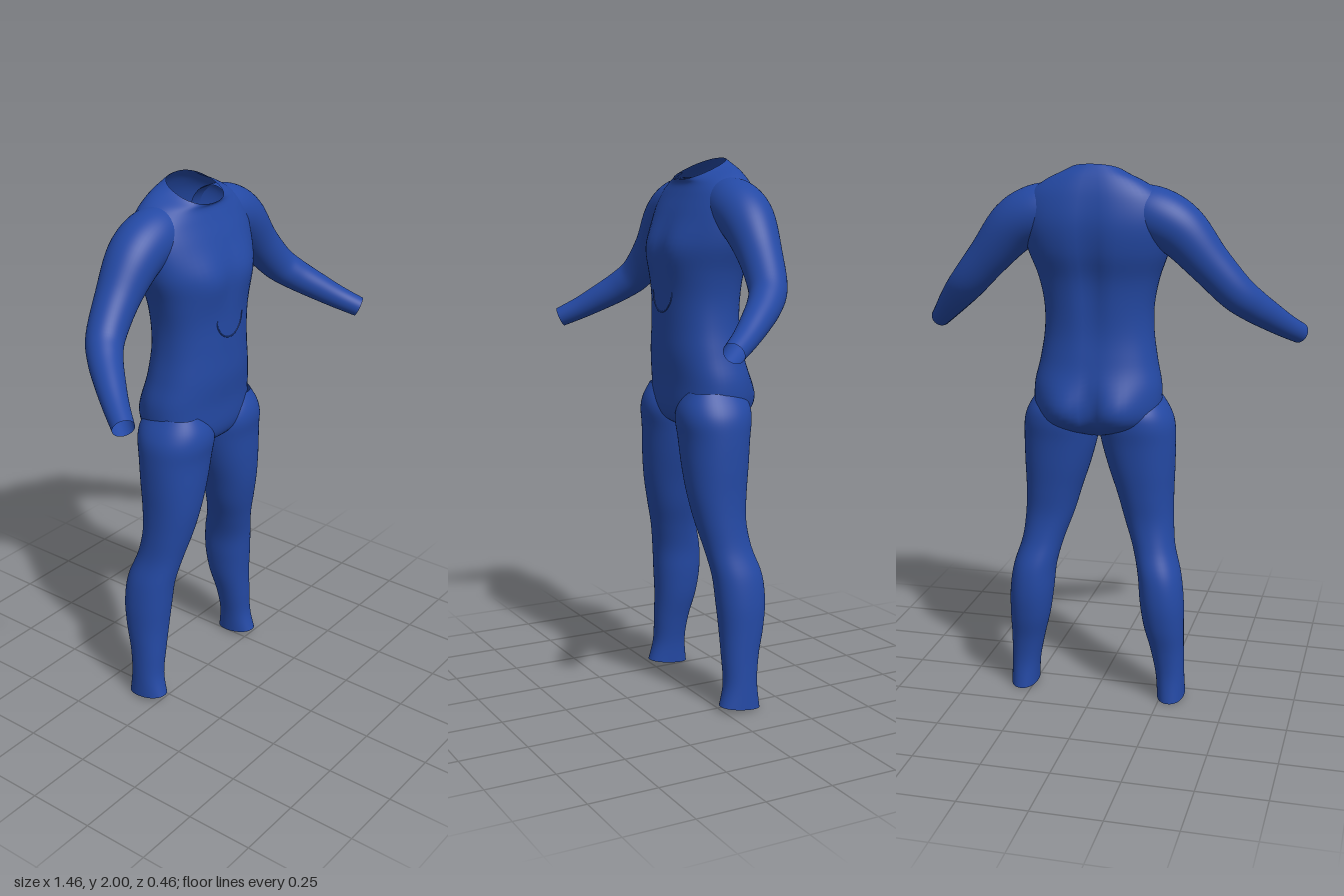
import * as THREE from 'three';

const SEG = 56; // points round each cross-section

// Catmull-Rom through rows of numbers, returning subdivided rows
function refine(rows, steps) {
  const out = [];
  const at = (i) => rows[Math.min(Math.max(i, 0), rows.length - 1)];
  for (let i = 0; i < rows.length - 1; i++) {
    for (let s = 0; s < steps; s++) {
      const t = s / steps;
      out.push(rows[i].map((_, k) => {
        const [a, b, c, d] = [at(i - 1)[k], at(i)[k], at(i + 1)[k], at(i + 2)[k]];
        return b + 0.5 * t * (c - a + t * (2 * a - 5 * b + 4 * c - d + t * (3 * (b - c) + d - a)));
      }));
    }
  }
  out.push(rows[rows.length - 1]);
  return out;
}

// Joins closed rings of points into one smooth open-ended skin
function skin(rings) {
  const index = [];
  for (let i = 0; i < rings.length - 1; i++) {
    for (let j = 0; j < SEG; j++) {
      const k = (j + 1) % SEG;
      const a = i * SEG + j, b = i * SEG + k, c = a + SEG, d = b + SEG;
      index.push(a, c, b, b, c, d);
    }
  }
  const geo = new THREE.BufferGeometry();
  geo.setAttribute('position', new THREE.Float32BufferAttribute(rings.flat(2), 3));
  geo.setIndex(index);
  geo.computeVertexNormals();
  return geo;
}

// Level rings from rows of [y, xMin, xMax, zFront, zBack, tilt]
function loftUp(rows, power, shape = (p) => p) {
  const bend = (v) => Math.sign(v) * Math.abs(v) ** (2 / power);
  return skin(refine(rows, 5).map(([y, x0, x1, zf, zb, tilt]) =>
    Array.from({ length: SEG }, (_, j) => {
      const t = (j / SEG) * Math.PI * 2;
      const dz = bend(Math.sin(t)) * (zf - zb) / 2;
      const x = (x0 + x1) / 2 + bend(Math.cos(t)) * (x1 - x0) / 2;
      return shape([x, y - tilt * dz, (zf + zb) / 2 + dz], Math.sin(t));
    })));
}

// Round rings square to a path, from rows of [x, y, z, radius]
function loftAlong(rows) {
  const path = refine(rows, 6);
  const pts = path.map((r) => new THREE.Vector3(r[0], r[1], r[2]));
  return skin(path.map((r, i) => {
    const T = pts[Math.min(i + 1, pts.length - 1)].clone().sub(pts[Math.max(i - 1, 0)]).normalize();
    const U = new THREE.Vector3(0, 1, 0).addScaledVector(T, -T.y).normalize();
    const V = U.clone().cross(T);
    return Array.from({ length: SEG }, (_, j) => {
      const t = (j / SEG) * Math.PI * 2;
      return pts[i].clone().addScaledVector(U, Math.cos(t) * r[3])
        .addScaledVector(V, Math.sin(t) * r[3]).toArray();
    });
  }));
}

function mirrored(geo) {
  const g = geo.clone().scale(-1, 1, 1);
  g.index.array.reverse();
  g.computeVertexNormals();
  return g;
}

// Chest, buttocks and the groove down the spine
function muscles([x, y, z], facing) {
  const bump = (cx, cy, sx, sy) =>
    Math.exp(-(((Math.abs(x) - cx) / sx) ** 2) - ((y - cy) / sy) ** 2);
  if (facing > 0) z += facing * 0.02 * bump(0.1, 1.67, 0.09, 0.09);
  else {
    z += facing * 0.04 * bump(0.11, 1.13, 0.09, 0.085);
    z -= facing * (0.02 * bump(0, 1.13, 0.025, 0.1) + 0.018 * bump(0, 1.62, 0.04, 0.25));
  }
  return [x, y, z];
}

export function createModel() {
  const model = new THREE.Group();
  model.name = 'bodysuit';
  const blue = new THREE.MeshStandardMaterial({ color: 0x2449a4, side: THREE.DoubleSide });
  blue.name = 'blue fabric';
  const add = (name, geo) => {
    const mesh = new THREE.Mesh(geo, blue);
    mesh.name = name;
    model.add(mesh);
  };

  // Torso: [y, half width, front z, back z, tilt], crotch to open collar
  const torso = [
    [1.02, 0.03, 0.0, -0.1, 0], [1.05, 0.16, 0.06, -0.16, 0], [1.1, 0.225, 0.085, -0.2, 0],
    [1.2, 0.235, 0.09, -0.205, 0], [1.3, 0.215, 0.1, -0.19, 0], [1.4, 0.2, 0.1, -0.178, 0],
    [1.5, 0.2, 0.1, -0.18, 0], [1.6, 0.22, 0.1, -0.19, 0], [1.7, 0.255, 0.095, -0.215, 0],
    [1.8, 0.27, 0.065, -0.222, 0], [1.88, 0.25, 0.035, -0.205, 0.1], [1.93, 0.19, 0.02, -0.18, 0.25],
    [1.955, 0.125, 0.025, -0.155, 0.4], [1.962, 0.105, 0.03, -0.145, 0.45],
  ].map(([y, w, f, b, t]) => [y, -w, w, f, b, t]);
  add('torso', loftUp(torso, 2.3, muscles));

  // Leg: [y, inner x, outer x, front z, back z, tilt], open ankle to hip
  const leg = loftUp([
    [0.011, 0.237, 0.34, 0.01, -0.15, -0.13], [0.1, 0.23, 0.337, -0.01, -0.14, 0],
    [0.2, 0.21, 0.335, -0.01, -0.15, 0], [0.3, 0.185, 0.335, -0.008, -0.173, 0],
    [0.4, 0.17, 0.333, 0.0, -0.185, 0], [0.5, 0.16, 0.32, 0.01, -0.178, 0],
    [0.6, 0.135, 0.292, 0.03, -0.148, 0], [0.7, 0.1, 0.282, 0.055, -0.135, 0],
    [0.8, 0.07, 0.28, 0.075, -0.143, 0], [0.9, 0.037, 0.283, 0.085, -0.155, 0],
    [1.0, 0.01, 0.284, 0.09, -0.165, 0], [1.07, 0.001, 0.28, 0.098, -0.175, 0],
    [1.12, 0.02, 0.262, 0.09, -0.17, 0], [1.17, 0.06, 0.23, 0.065, -0.14, 0],
  ], 2.15);
  add('leftLeg', leg);
  add('rightLeg', mirrored(leg));

  // Arm: [x, y, z, radius], shoulder to open wrist
  const arm = loftAlong([
    [0.12, 1.85, -0.085, 0.085], [0.21, 1.825, -0.087, 0.1], [0.3, 1.775, -0.085, 0.096],
    [0.4, 1.665, -0.075, 0.077], [0.49, 1.565, -0.05, 0.067], [0.545, 1.512, -0.005, 0.06],
    [0.6, 1.462, 0.062, 0.052], [0.65, 1.417, 0.13, 0.044], [0.697, 1.378, 0.2, 0.038],
  ]);
  add('leftArm', arm);
  add('rightArm', mirrored(arm));

  // Fine curved seam on the belly
  const seam = Array.from({ length: 13 }, (_, i) => {
    const a = Math.PI * (1 + i / 12);
    const x = 0.072 * Math.cos(a);
    return new THREE.Vector3(x, 1.525 + 0.075 * Math.sin(a), 0.1 - x * x);
  });
  add('bellySeam', new THREE.TubeGeometry(new THREE.CatmullRomCurve3(seam), 32, 0.0025, 6));

  return model;
}
